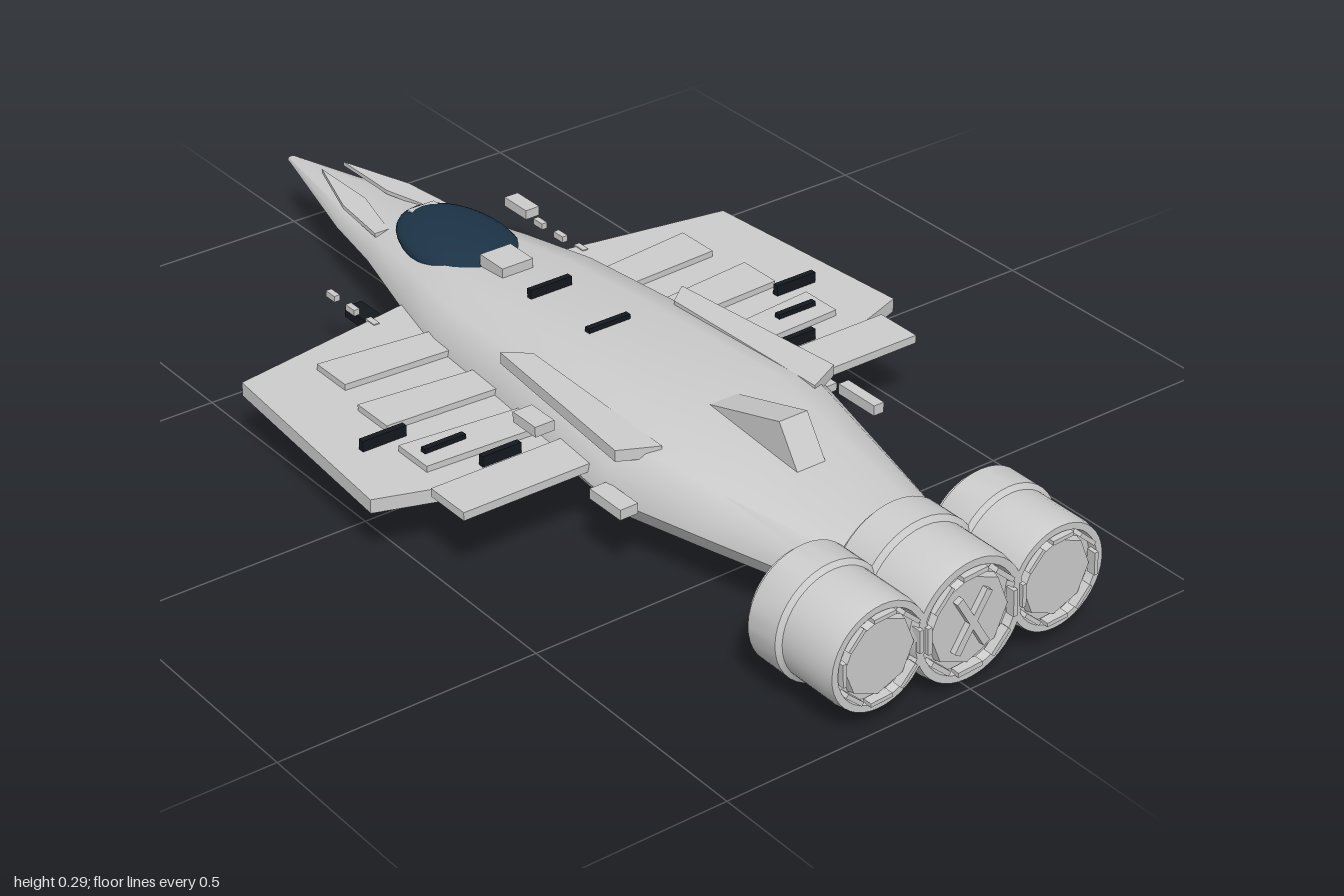
import * as THREE from 'three';
import { toCreasedNormals } from 'three/addons/utils/BufferGeometryUtils.js';

const grey = new THREE.MeshStandardMaterial({ color: 0xcccccc });
const black = new THREE.MeshStandardMaterial({ color: 0x14191f });
const glass = new THREE.MeshStandardMaterial({ color: 0x1c3346 });

export function createModel() {
  const model = new THREE.Group();

  const add = (name, geometry, material = grey, parent = model) => {
    const mesh = new THREE.Mesh(geometry, material);
    mesh.name = name;
    parent.add(mesh);
    return mesh;
  };
  // Box given by its limits on each axis
  const box = (name, [x0, x1], [y0, y1], [z0, z1], material) => {
    const mesh = add(name, new THREE.BoxGeometry(Math.abs(x1 - x0), y1 - y0, z1 - z0), material);
    mesh.position.set((x0 + x1) / 2, (y0 + y1) / 2, (z0 + z1) / 2);
  };
  // Flat plate from an outline in x and z
  const plate = (name, side, outline, y0, y1) => {
    const shape = new THREE.Shape(outline.map(([x, z]) => new THREE.Vector2(x * side, z)));
    const geometry = new THREE.ExtrudeGeometry(shape, { depth: y1 - y0, bevelEnabled: false });
    geometry.rotateX(Math.PI / 2).translate(0, y1, 0);
    add(name, geometry);
  };

  add('fuselage', fuselageGeometry());

  // Canopy with its frame pieces
  const canopy = add('canopy', new THREE.SphereGeometry(1, 32, 16), glass);
  canopy.scale.set(0.1, 0.036, 0.155);
  canopy.position.set(0, 0.204, -0.42);
  canopy.rotation.x = 0.05;
  box('canopyFrontBlock', [-0.03, 0.03], [0.2, 0.231], [-0.55, -0.48]);
  box('canopyRearBlock', [-0.034, 0.034], [0.2, 0.242], [-0.31, -0.24]);

  // Dorsal fin with a steep rear face
  const finShape = new THREE.Shape([
    [-0.335, 0.235], [-0.54, 0.296], [-0.595, 0.215], [-0.595, 0.18], [-0.335, 0.18],
  ].map(([x, y]) => new THREE.Vector2(x, y)));
  const fin = new THREE.ExtrudeGeometry(finShape, { depth: 0.06, bevelEnabled: false });
  add('dorsalFin', fin.rotateY(Math.PI / 2).translate(-0.03, 0, 0));

  // Dark slots across the back
  for (const z of [-0.143, 0.03]) {
    box('backSlot', [-0.045, 0.045], [0.22, 0.247], [z - 0.006, z + 0.006], black);
  }

  for (const side of [1, -1]) {
    const span = (a, b) => [a * side, b * side];

    // Wing, trailing flap and raised panels
    plate('wing', side, [[0.1, -0.395], [0.16, -0.385], [0.54, -0.322], [0.575, 0.135],
      [0.385, 0.2], [0.1, 0.2]], 0.118, 0.145);
    box('flap', span(0.2, 0.493), [0.151, 0.167], [0.195, 0.29]);
    [[0.41, -0.28, -0.19], [0.43, -0.12, -0.03], [0.45, 0.035, 0.12]].forEach(([x, z0, z1]) => {
      plate('wingPanel', side, [[0.17, z0 + 0.025], [x, z0], [x, z1], [0.17, z1 + 0.012]], 0.14, 0.157);
    });
    [[0.41, 0.5, -0.005], [0.345, 0.43, 0.08], [0.285, 0.365, 0.158]].forEach(([x0, x1, z]) => {
      box('wingSlot', span(x0, x1), [0.14, 0.166], [z - 0.006, z + 0.006], black);
    });

    // Raised shoulder plates and nose strakes
    plate('shoulderPlate', side, [[0.2, -0.015], [0.155, 0.02], [0.165, 0.4], [0.237, 0.365]], 0.208, 0.23);
    plate('noseStrake', side, [[0.025, -0.85], [0.075, -0.7], [0.09, -0.57], [0.06, -0.57],
      [0.025, -0.7]], 0.183, 0.191);

    // Forward guns and sensor studs
    box('gun', span(0.17, 0.207), [0.085, 0.106], [-0.5, -0.385], black);
    for (const z of [-0.495, -0.43, -0.365, -0.22]) {
      box('stud', span(0.229, 0.241), [0.135, 0.147], [z - 0.014, z + 0.014]);
    }
  }

  // Loose hull blocks, different on each side
  box('leftFrontBlock', [0.234, 0.265], [0.13, 0.149], [-0.61, -0.54]);
  box('leftRearBlock', [0.258, 0.28], [0.16, 0.18], [0.355, 0.45]);
  box('leftSmallBlock', [0.258, 0.28], [0.145, 0.16], [0.295, 0.325]);
  box('rightRearBlock', [-0.275, -0.238], [0.14, 0.16], [0.345, 0.43]);
  box('rightWingBlock', [-0.285, -0.245], [0.195, 0.215], [0.14, 0.205]);

  // Three engines
  for (const [name, x, y, r] of [['middleEngine', 0, 0.133, 0.128],
    ['leftEngine', 0.188, 0.14, 0.111], ['rightEngine', -0.188, 0.14, 0.111]]) {
    const engine = new THREE.Group();
    engine.name = name;
    engine.position.set(x, y, 0);
    model.add(engine);

    // Turned casing: front cap, collar, drum, rim and recessed nozzle
    const profile = [[0, 0.785], [0.9, 0.785], [0.92, 0.797], [1, 0.797], [1, 0.865], [0.92, 0.872],
      [0.92, 0.97], [0.89, 0.99], [0.78, 0.99], [0.75, 0.975], [0, 0.975]];
    const casing = new THREE.LatheGeometry(profile.map(([k, z]) => new THREE.Vector2(k * r, z)), 40);
    add('casing', toCreasedNormals(casing.rotateX(Math.PI / 2), 0.5), grey, engine);

    // Eight-sided nozzle plate with rim segments
    const disc = new THREE.CylinderGeometry(r * 0.64, r * 0.68, 0.02, 8).rotateX(Math.PI / 2);
    add('nozzlePlate', toCreasedNormals(disc, 0.5), grey, engine).position.z = 0.978;
    for (let i = 0; i < 8; i++) {
      const a = (i / 8) * Math.PI * 2;
      const segment = add('rimSegment', new THREE.BoxGeometry(r * 0.4, r * 0.07, 0.018), grey, engine);
      segment.position.set(Math.cos(a) * r * 0.71, Math.sin(a) * r * 0.71, 0.989);
      segment.rotation.z = a + Math.PI / 2 + 0.06;
    }
    if (x === 0) {
      for (const tilt of [0.55, -0.55]) {
        const strut = add('nozzleStrut', new THREE.BoxGeometry(0.014, 0.12, 0.014), grey, engine);
        strut.position.z = 0.992;
        strut.rotation.z = tilt;
      }
    }
  }
  return model;
}

// Hull lofted through faceted cross-sections from nose to tail
function fuselageGeometry() {
  // z, half width, bottom, widest height, top
  const stations = [
    [-1, 0.008, 0.138, 0.145, 0.15],
    [-0.71, 0.085, 0.11, 0.143, 0.178],
    [-0.57, 0.11, 0.095, 0.142, 0.192],
    [-0.39, 0.158, 0.077, 0.14, 0.212],
    [-0.23, 0.197, 0.061, 0.138, 0.224],
    [0, 0.213, 0.053, 0.135, 0.237],
    [0.35, 0.247, 0.043, 0.135, 0.242],
    [0.55, 0.196, 0.058, 0.137, 0.225],
    [0.8, 0.13, 0.08, 0.14, 0.208],
  ];
  const positions = [];
  const index = [];
  for (const [z, w, yb, ym, yt] of stations) {
    const half = [[0.56 * w, yb], [0.86 * w, yb + (ym - yb) * 0.5], [w, ym],
      [0.96 * w, ym + (yt - ym) * 0.4], [0.8 * w, ym + (yt - ym) * 0.8], [0.5 * w, yt]];
    const ring = [...half, ...half.map(([x, y]) => [-x, y]).reverse()];
    for (const [x, y] of ring) positions.push(x, y, z);
  }
  const n = 12;
  const last = (stations.length - 1) * n;
  for (let s = 0; s < last; s += n) {
    for (let j = 0; j < n; j++) {
      const a = s + j;
      const b = s + ((j + 1) % n);
      index.push(a, b, b + n, a, b + n, a + n);
    }
  }
  for (let j = 1; j < n - 1; j++) {
    index.push(0, j + 1, j, last, last + j, last + j + 1);
  }
  const geometry = new THREE.BufferGeometry();
  geometry.setAttribute('position', new THREE.Float32BufferAttribute(positions, 3));
  geometry.setIndex(index);
  return toCreasedNormals(geometry, 0.6);
}
